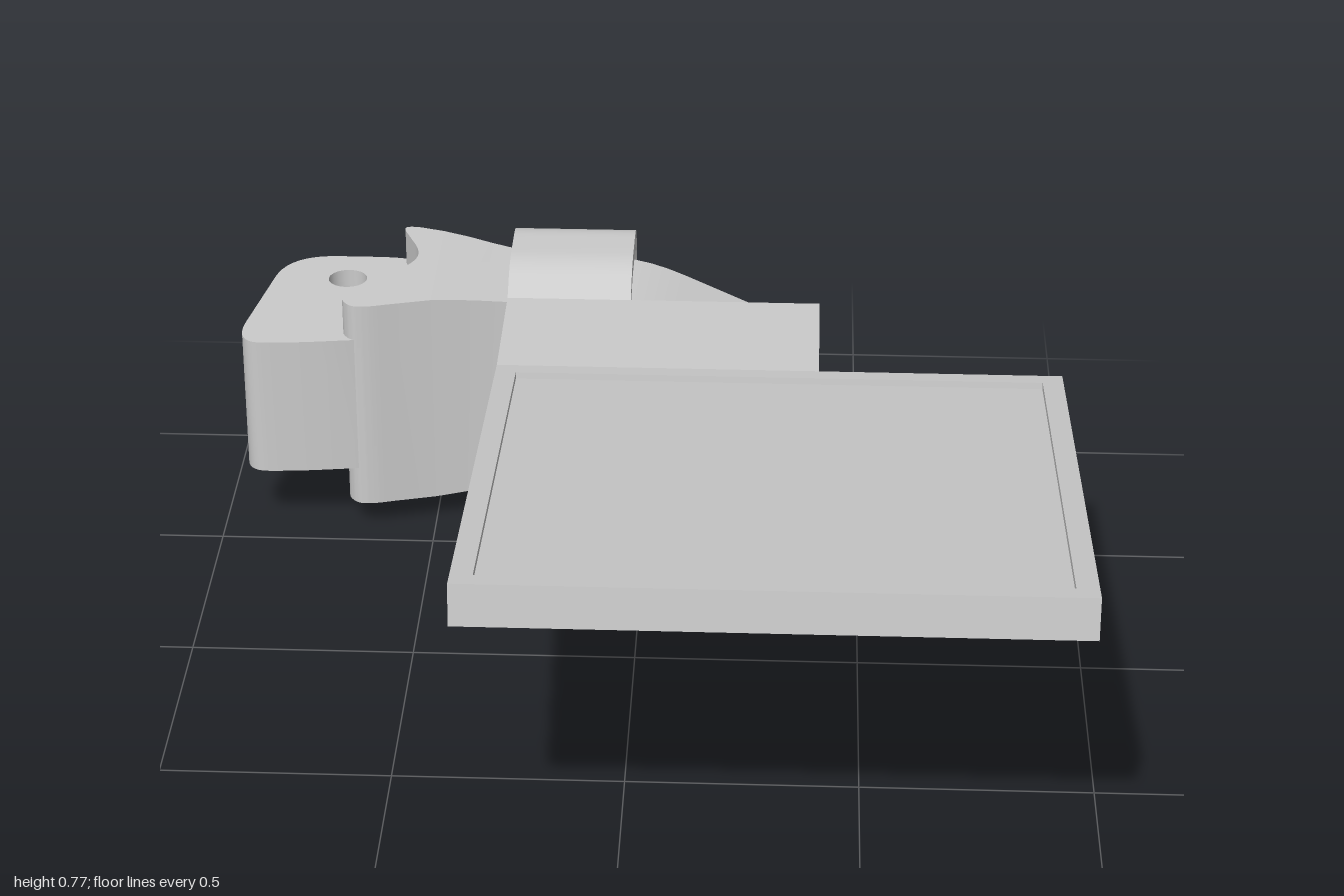
import * as THREE from 'three';
import { toCreasedNormals } from 'three/addons/utils/BufferGeometryUtils.js';

const material = new THREE.MeshStandardMaterial({ color: 0xcccccc });
const MID_Y = 0.327; // mirror height of the clamp and grip

function part(name, geometry) {
  const mesh = new THREE.Mesh(toCreasedNormals(geometry, 0.5), material);
  mesh.name = name;
  return mesh;
}

// closed outline from [a, b, cornerRadius] points
function outline(points) {
  const shape = new THREE.Shape();
  const n = points.length;
  points.forEach(([a, b, r = 0], i) => {
    const p = new THREE.Vector2(a, b);
    const toward = (q) => {
      const d = new THREE.Vector2(q[0], q[1]).sub(p);
      return d.setLength(Math.min(r, d.length() * 0.5)).add(p);
    };
    const start = toward(points[(i + n - 1) % n]);
    const end = toward(points[(i + 1) % n]);
    if (i === 0) shape.moveTo(start.x, start.y);
    else shape.lineTo(start.x, start.y);
    if (r) shape.quadraticCurveTo(p.x, p.y, end.x, end.y);
  });
  shape.closePath();
  return shape;
}

const extrude = (shape, depth) =>
  new THREE.ExtrudeGeometry(shape, { depth, bevelEnabled: false, curveSegments: 10 });

// side profile of [z, y] points, swept between two x values
const sideSweep = (points, x0, x1) =>
  extrude(outline(points), x1 - x0).rotateY(-Math.PI / 2).translate(x1, 0, 0);

// plan of [x, z] points, swept between two heights, with optional round hole
function planSweep(points, y0, y1, hole) {
  const shape = outline(points.map(([x, z, r]) => [x, -z, r]));
  if (hole) {
    const path = new THREE.Path();
    path.absarc(hole[0], -hole[1], hole[2], 0, Math.PI * 2, true);
    shape.holes.push(path);
  }
  return extrude(shape, y1 - y0).rotateX(-Math.PI / 2).translate(0, y0, 0);
}

// tilted tray with a shallow recess inside a narrow rim
function createTray() {
  const tray = new THREE.Group();
  tray.name = 'tray';
  const [x0, x1, length, rim, depth] = [-0.32, 0.94, 1.257, 0.046, 0.015];
  const rect = (a, b, c, d) => [[a, c], [b, c], [b, d], [a, d]];
  const frame = outline(rect(x0, x1, -length, 0));
  frame.holes.push(outline(rect(x0 + rim, x1 - rim, -length + rim, -rim)));
  tray.add(part('trayRim', extrude(frame, depth).rotateX(-Math.PI / 2).translate(0, -depth, 0)));
  tray.add(part('trayPanel', planSweep(rect(x0, x1, 0, length), -0.09, -depth)));
  tray.position.set(0, 0.6, -0.26);
  tray.rotation.x = -0.139;
  return tray;
}

// tapering grip: box whose slices follow [x, back z, front z, half height]
function createGrip() {
  const slices = [
    [-0.5, -0.968, -0.598, 0.261], [-0.44, -0.951, -0.612, 0.256], [-0.38, -0.932, -0.624, 0.249],
    [-0.32, -0.915, -0.632, 0.243], [-0.2, -0.897, -0.645, 0.24], [-0.04, -0.88, -0.664, 0.238],
    [0, -0.872, -0.67, 0.233], [0.04, -0.862, -0.675, 0.225], [0.08, -0.851, -0.679, 0.214],
    [0.235, -0.811, -0.697, 0.164], [0.258, -0.805, -0.7, 0.157], [0.272, -0.8, -0.715, 0.153],
    [0.283, -0.793, -0.745, 0.15], [0.288, -0.78, -0.768, 0.149],
  ];
  const n = slices.length - 1;
  const geometry = new THREE.BoxGeometry(1, 1, 1, n, 1, 1);
  const pos = geometry.attributes.position;
  for (let i = 0; i < pos.count; i++) {
    const [x, back, front, half] = slices[Math.round((pos.getX(i) + 0.5) * n)];
    pos.setXYZ(i, x, MID_Y + Math.sign(pos.getY(i)) * half, pos.getZ(i) > 0 ? front : back);
  }
  return part('grip', geometry);
}

export function createModel() {
  const model = new THREE.Group();
  model.name = 'trayHolder';

  model.add(createTray());

  // angle bracket joining tray and clamp
  model.add(part('bracket', sideSweep([
    [-0.595, 0.06], [-0.5, 0.06], [-0.5, 0.511], [-0.2475, 0.511], [-0.26, 0.6], [-0.595, 0.6],
  ], -0.32, 0.4)));

  // curved clamp arms above and below the grip
  for (const s of [1, -1]) {
    const arm = [
      [-0.59, 0.27], [-0.675, 0.327, 0.06], [-0.885, 0.327, 0.07], [-0.93, 0.255, 0.04], [-0.922, 0.215],
      [-0.88, 0.285, 0.05], [-0.67, 0.285, 0.05], [-0.59, 0.228],
    ].map(([z, y, r]) => [z, MID_Y + s * y, r]);
    model.add(part(s > 0 ? 'upperClampArm' : 'lowerClampArm', sideSweep(arm, -0.32, -0.035)));
  }

  // grip and its wide end with a wavy shoulder
  model.add(createGrip());
  model.add(part('gripShoulder', planSweep([
    [-0.5, -0.968], [-0.5, -0.598], [-0.6, -0.571], [-0.635, -0.56, 0.02], [-0.685, -0.555, 0.04],
    [-0.715, -0.61, 0.04], [-0.575, -0.765, 0.06], [-0.54, -0.84, 0.06],
    [-0.6, -0.985, 0.03], [-0.57, -0.99, 0.02],
  ], MID_Y - 0.261, MID_Y + 0.261)));

  // rounded pivot head with a through hole
  model.add(part('pivotHead', planSweep([
    [-0.88, -1, 0.12], [-0.956, -0.535, 0.11], [-0.82, -0.54, 0.06], [-0.66, -0.562], [-0.51, -0.62],
    [-0.51, -0.95], [-0.575, -0.99], [-0.63, -1, 0.04],
  ], 0.16, 0.5, [-0.725, -0.88, 0.046])));

  return model;
}
